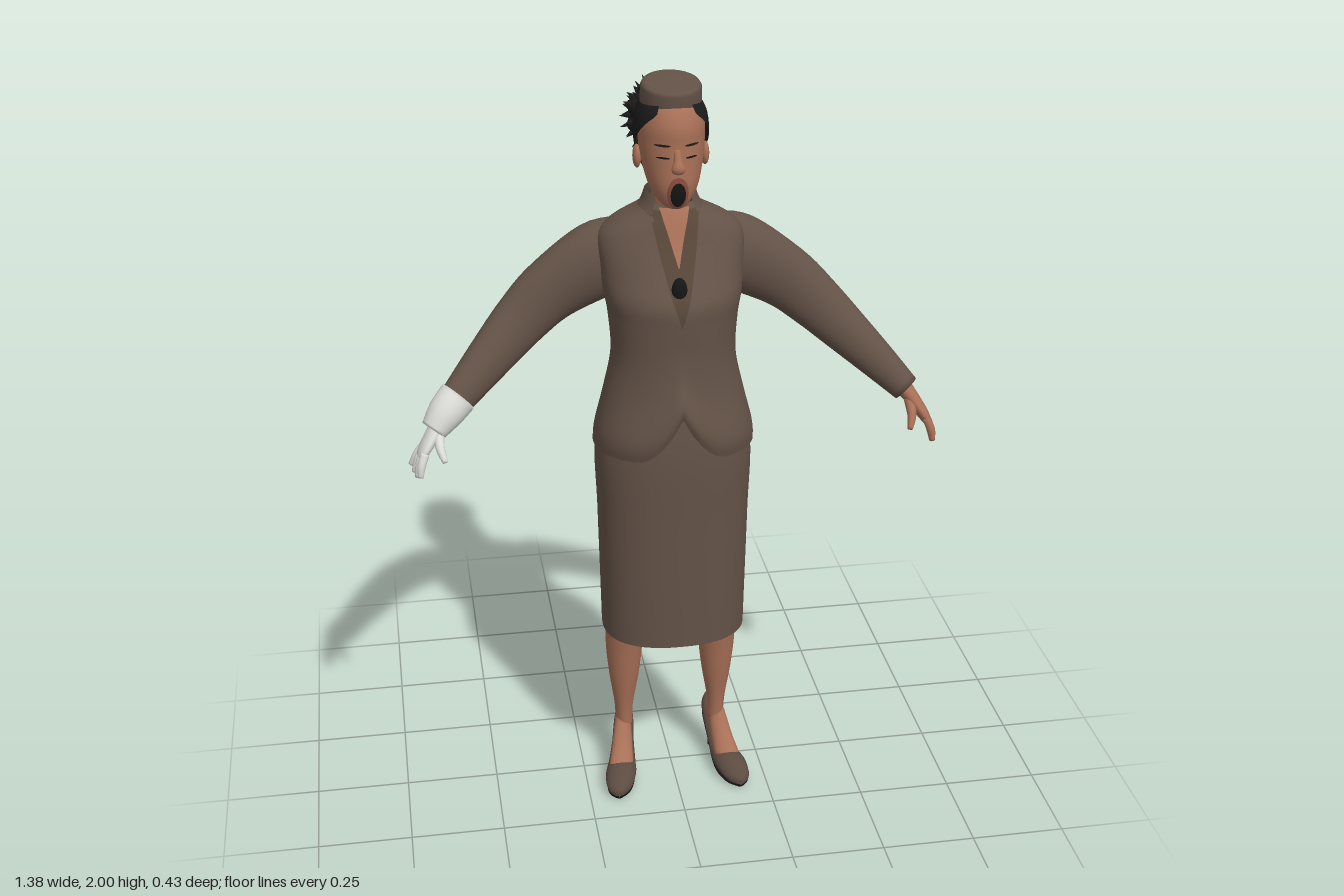
import * as THREE from 'three';

const material = (name, color) => {
  const m = new THREE.MeshStandardMaterial({ color, side: THREE.DoubleSide });
  m.name = name;
  return m;
};

// Smooth interpolation through rows of numbers
function spline(rows, s) {
  const i = Math.min(Math.floor(s), rows.length - 2), f = s - i;
  const at = (j) => rows[Math.max(0, Math.min(rows.length - 1, j))];
  return rows[0].map((_, k) => {
    const [a, b, c, d] = [at(i - 1)[k], at(i)[k], at(i + 1)[k], at(i + 2)[k]];
    return b + 0.5 * f * (c - a + f * (2 * a - 5 * b + 4 * c - d + f * (3 * (b - c) + d - a)));
  });
}

// Surface through rings of points
function skin(rings, closed) {
  const n = rings[0].length, index = [];
  for (let i = 0; i < rings.length - 1; i++) {
    for (let j = 0; j < (closed ? n : n - 1); j++) {
      const a = i * n + j, b = i * n + (j + 1) % n;
      index.push(a, b, a + n, b, b + n, a + n);
    }
  }
  const g = new THREE.BufferGeometry().setFromPoints(rings.flat());
  g.setIndex(index);
  g.computeVertexNormals();
  return g;
}

const pow = (v, p) => Math.sign(v) * Math.abs(v) ** p;

// Upright loft; rows are [y, half width, front z, back z, centre x]
function loft(rows, { n = 40, p = 1, start = null, warp = null, steps = 5 } = {}) {
  const rings = [];
  for (let k = 0; k <= (rows.length - 1) * steps; k++) {
    const [y, rx, zf, zb, cx = 0] = spline(rows, k / steps), ring = [];
    const a0 = start ? start(y) : 0;
    for (let j = 0; j < (start ? n + 1 : n); j++) {
      const t = a0 + (2 * Math.PI - 2 * a0) * j / n;
      const v = new THREE.Vector3(cx + rx * pow(Math.sin(t), p), y, (zf + zb) / 2 + (zf - zb) / 2 * pow(Math.cos(t), p));
      if (warp) warp(v);
      ring.push(v);
    }
    rings.push(ring);
  }
  return skin(rings, !start);
}

// Limb with closed ends; rows are [x, y, z, radius along z, other radius]
function limb(rows, n = 20, steps = 5) {
  const rings = [], last = (rows.length - 1) * steps;
  const centre = (s) => new THREE.Vector3(...spline(rows, s).slice(0, 3));
  for (let k = 0; k <= last; k++) {
    const s = k / steps, c = centre(s), [, , , ra, rb] = spline(rows, s);
    const T = centre(Math.min(s + 0.05, rows.length - 1)).sub(centre(Math.max(s - 0.05, 0))).normalize();
    const U = new THREE.Vector3(0, 0, 1).addScaledVector(T, -T.z).normalize();
    const V = new THREE.Vector3().crossVectors(T, U);
    const ring = (m) => Array.from({ length: n }, (_, j) => {
      const a = 2 * Math.PI * j / n;
      return c.clone().addScaledVector(U, m * ra * Math.cos(a)).addScaledVector(V, m * rb * Math.sin(a));
    });
    if (k === 0) rings.push(ring(0));
    rings.push(ring(1));
    if (k === last) rings.push(ring(0));
  }
  return skin(rings, true);
}

// Thin panel lying on the front of a loft; shape rows are [y, x from, x to]
function panel(base, shape, off, p = 1) {
  const rings = [], n = 8, steps = 5;
  for (let k = 0; k <= (shape.length - 1) * steps; k++) {
    const i = Math.min(Math.floor(k / steps), shape.length - 2), f = k / steps - i;
    const [y, xa, xb] = shape[i].map((v, c) => v + (shape[i + 1][c] - v) * f);
    let lo = 0, hi = base.length - 1;
    for (let q = 0; q < 24; q++) {
      const mid = (lo + hi) / 2;
      if (spline(base, mid)[0] < y) lo = mid; else hi = mid;
    }
    const [, rx, zf, zb] = spline(base, lo);
    rings.push(Array.from({ length: n + 1 }, (_, j) => {
      const x = xa + (xb - xa) * j / n, u = Math.min(1, Math.abs(x) / rx);
      return new THREE.Vector3(x, y, (zf + zb) / 2 + (zf - zb) / 2 * (1 - u ** (2 / p)) ** (p / 2) + off);
    }));
  }
  return skin(rings, false);
}

const oval = (x, y, rx, ry) => Array.from({ length: 9 }, (_, i) => {
  const a = -Math.PI / 2 + Math.PI * i / 8, w = rx * Math.cos(a);
  return [y + ry * Math.sin(a), x - w, x + w];
});

export function createModel() {
  const cloth = material('brown cloth', 0x635247), blouse = material('dark brown cloth', 0x574639);
  const flesh = material('skin', 0xa87057), lip = material('lip', 0x8a4f40);
  const black = material('black', 0x161616), hairMat = material('hair', 0x1b1b1b);
  const white = material('white glove', 0xdcdcd8), gold = material('gold', 0xc8942a);
  const shoeMat = material('shoe leather', 0x5b4b41);

  const model = new THREE.Group();
  const add = (name, geometry, mat, parent = model) => {
    const m = new THREE.Mesh(geometry, mat);
    m.name = name;
    parent.add(m);
    return m;
  };

  // Jacket with rounded front hem
  const torso = [[1.05, 0.21, 0.205, -0.13], [1.1, 0.205, 0.212, -0.123], [1.2, 0.18, 0.187, -0.102], [1.3, 0.16, 0.178, -0.095],
    [1.4, 0.165, 0.18, -0.108], [1.46, 0.175, 0.178, -0.116], [1.52, 0.182, 0.145, -0.12], [1.6, 0.185, 0.1, -0.11],
    [1.64, 0.15, 0.082, -0.098], [1.67, 0.09, 0.068, -0.085], [1.69, 0.06, 0.055, -0.07]];
  const P = 0.9;
  add('jacket', loft(torso, { n: 64, p: P, warp: (v) => {
    if (v.z < 0.05 || v.y > 1.4) return;
    const lift = 0.12 * Math.max(0, 1 - Math.abs(v.x) / 0.12) ** 2;
    v.y += lift * (1.4 - v.y) / 0.35;
  } }), cloth);
  add('collar', loft([[1.64, 0.115, 0.09, -0.104], [1.68, 0.078, 0.075, -0.088], [1.715, 0.064, 0.06, -0.076]], { start: () => 0.75 }), cloth);
  add('blouse', panel(torso, [[1.41, -0.001, 0.001], [1.53, -0.038, 0.038], [1.67, -0.062, 0.062]], 0.003, P), blouse);
  add('neckline', panel(torso, [[1.55, -0.001, 0.001], [1.63, -0.022, 0.022], [1.685, -0.038, 0.038]], 0.006, P), flesh);
  for (const s of [1, -1]) {
    const side = (rows) => rows.map(([y, a, b]) => [y, a * s, b * s]);
    add('lapel', panel(torso, side([[1.41, 0, 0.002], [1.49, 0.025, 0.085], [1.57, 0.043, 0.13], [1.59, 0.047, 0.1], [1.6, 0.049, 0.115], [1.66, 0.06, 0.085]]), 0.009, P), cloth);
    add('blouseCollar', panel(torso, side([[1.55, 0.03, 0.034], [1.59, 0.014, 0.046], [1.68, 0.036, 0.056]]), 0.011, P), blouse);
  }
  const scarf = add('scarfKnot', new THREE.SphereGeometry(1, 16, 12), black);
  scarf.scale.set(0.02, 0.036, 0.014);
  scarf.position.set(-0.003, 1.5, 0.157);

  // Skirt and its lining
  const skirt = [[0.49, 0.193, 0.187, -0.122], [0.65, 0.196, 0.188, -0.121], [0.85, 0.2, 0.188, -0.12], [1.05, 0.203, 0.187, -0.118], [1.2, 0.165, 0.168, -0.09]];
  add('skirt', loft(skirt, { n: 56, p: 0.85 }), cloth);
  add('skirtLining', loft(skirt.map(([y, r, f, b]) => [y, r - 0.006, f - 0.006, b + 0.006]), { n: 56, p: 0.85 }), black);

  for (const s of [1, -1]) {
    const mx = (rows) => rows.map(([x, ...r]) => [x * s, ...r]);
    const name = s > 0 ? 'left' : 'right';

    // Sleeve
    add(name + 'Sleeve', limb(mx([[0.11, 1.545, -0.04, 0.06, 0.09], [0.18, 1.522, -0.042, 0.073, 0.1], [0.3, 1.453, -0.032, 0.06, 0.084],
      [0.38, 1.385, -0.014, 0.054, 0.073], [0.455, 1.315, 0.022, 0.049, 0.062], [0.53, 1.245, 0.066, 0.042, 0.05], [0.605, 1.172, 0.106, 0.036, 0.037]]), 28), cloth);

    // Hand: bare on the left, gloved on the right
    const handMat = s > 0 ? flesh : white;
    const hand = new THREE.Group();
    hand.name = s > 0 ? 'leftHand' : 'rightGlove';
    model.add(hand);
    add('palm', limb(mx([[0.59, 1.187, 0.1, 0.026, 0.024], [0.615, 1.155, 0.113, 0.03, 0.02], [0.645, 1.112, 0.129, 0.036, 0.016], [0.658, 1.09, 0.133, 0.033, 0.012]])), handMat, hand);
    for (let i = 0; i < 4; i++) {
      const z = 0.104 + 0.02 * i, tip = 1.052 - [0, 0.009, 0.012, 0.002][i];
      add('finger', limb(mx([[0.648, 1.108, z, 0.011, 0.011], [0.668 - 0.003 * i, 1.08, z + 0.003 * i, 0.011, 0.011],
        [0.684 - 0.007 * i, tip, z - 0.004 + 0.006 * i, 0.007, 0.007]]), 10, 4), handMat, hand);
    }
    add('thumb', limb(mx([[0.61, 1.15, 0.125, 0.014, 0.014], [0.61, 1.12, 0.158, 0.012, 0.012], [0.6, 1.09, 0.183, 0.007, 0.007]]), 10, 4), handMat, hand);
    if (s < 0) add('gloveCuff', limb(mx([[0.555, 1.222, 0.079, 0.046, 0.05], [0.59, 1.188, 0.099, 0.044, 0.046], [0.622, 1.15, 0.115, 0.036, 0.034]])), white, hand);

    // Leg and foot
    add(name + 'Leg', limb(mx([[0.118, 0.75, 0.015, 0.08, 0.07], [0.128, 0.5, 0.005, 0.062, 0.053], [0.13, 0.4, -0.003, 0.055, 0.051],
      [0.131, 0.3, -0.006, 0.043, 0.041], [0.132, 0.2, -0.01, 0.03, 0.026], [0.131, 0.13, -0.018, 0.032, 0.024]])), flesh);
    const along = (rows) => loft(rows.map(([z, w, bottom, top]) => [z, w, -bottom, -top, s * (0.137 + 0.2 * z)]), { n: 24 }).rotateX(Math.PI / 2);
    add(name + 'Foot', along([[-0.055, 0.016, 0.12, 0.16], [-0.03, 0.023, 0.1, 0.18], [0, 0.025, 0.07, 0.165], [0.04, 0.03, 0.035, 0.112], [0.08, 0.034, 0.015, 0.073], [0.12, 0.028, 0.01, 0.045]]), flesh);

    // Court shoe
    const shoe = [[-0.075, 0.003, 0.12, 0.16], [-0.066, 0.021, 0.1, 0.172], [-0.04, 0.028, 0.085, 0.145], [0, 0.031, 0.048, 0.1], [0.05, 0.038, 0.013, 0.068],
      [0.1, 0.043, 0.004, 0.063], [0.15, 0.034, 0.004, 0.045], [0.172, 0.014, 0.006, 0.032], [0.177, 0.002, 0.01, 0.022]];
    add(name + 'Shoe', along(shoe), shoeMat);
    add(name + 'Sole', along(shoe.map(([z, w, b]) => [z, w * 0.9, b - 0.004, b + 0.012])), black);
    add(name + 'Heel', limb([[s * 0.126, 0.115, -0.05, 0.02, 0.02], [s * 0.126, 0.07, -0.052, 0.011, 0.01], [s * 0.126, 0, -0.05, 0.008, 0.008]], 12), black);
  }

  // Neck and head
  add('neck', limb([[0, 1.62, -0.015, 0.055, 0.055], [0, 1.7, 0, 0.052, 0.048], [0, 1.78, 0.012, 0.06, 0.05]]), flesh);
  const head = [[1.688, 0.002, 0.08, 0.06], [1.694, 0.027, 0.098, 0.03], [1.715, 0.046, 0.109, 0.005], [1.75, 0.064, 0.116, -0.04],
    [1.8, 0.076, 0.114, -0.07], [1.85, 0.082, 0.111, -0.085], [1.9, 0.08, 0.109, -0.088], [1.95, 0.06, 0.08, -0.065], [1.98, 0.002, 0.01, 0]];
  add('head', loft(head), flesh);
  add('nose', limb([[0, 1.845, 0.107, 0.006, 0.008], [0, 1.82, 0.115, 0.01, 0.011], [0, 1.8, 0.121, 0.012, 0.017], [0, 1.79, 0.115, 0.006, 0.012]], 14), flesh);
  add('lips', panel(head, oval(0, 1.738, 0.027, 0.042), 0.006), lip);
  add('mouth', panel(head, oval(0, 1.735, 0.019, 0.032), 0.009), black);
  for (const s of [1, -1]) {
    add('closedEye', panel(head, oval(s * 0.035, 1.826, 0.016, 0.0025), 0.003), black);
    add('eyebrow', panel(head, oval(s * 0.036, 1.856, 0.019, 0.003), 0.003), hairMat);
    const ear = add('ear', new THREE.SphereGeometry(1, 14, 10), flesh);
    ear.scale.set(0.011, 0.03, 0.018);
    ear.position.set(s * 0.085, 1.805, 0.008);
  }

  // Hair swept back from the face
  const hairline = (y) => 0.6 + 1.55 * THREE.MathUtils.clamp((1.925 - y) / 0.18, 0, 1) ** 0.75;
  add('hair', loft([[1.715, 0.05, 0.06, -0.066], [1.76, 0.07, 0.1, -0.085], [1.82, 0.088, 0.116, -0.1], [1.88, 0.093, 0.118, -0.106],
    [1.93, 0.082, 0.108, -0.098], [1.965, 0.05, 0.06, -0.06], [1.975, 0.002, 0.01, 0]], { start: hairline }), hairMat);

  // Spiky bun and gold tie
  const bun = new THREE.Group();
  bun.name = 'bun';
  bun.position.set(-0.005, 1.862, -0.15);
  model.add(bun);
  const ball = new THREE.SphereGeometry(1, 48, 24).rotateX(Math.PI / 2), pos = ball.attributes.position;
  for (let i = 0; i < pos.count; i++) {
    const r = 1 + 0.07 * Math.cos(9 * Math.atan2(pos.getY(i), pos.getX(i))) * Math.hypot(pos.getX(i), pos.getY(i));
    pos.setXYZ(i, pos.getX(i) * r * 0.08, pos.getY(i) * r * 0.085, pos.getZ(i) * 0.053);
  }
  ball.computeVertexNormals();
  add('bunBall', ball, hairMat, bun);
  const up = new THREE.Vector3(0, 1, 0);
  for (let i = 0; i < 64; i++) {
    const z = 0.45 - 1.4 * (i + 0.5) / 64, a = i * 2.39996, w = Math.sqrt(1 - z * z);
    const d = new THREE.Vector3(w * Math.cos(a), w * Math.sin(a), z);
    const spike = add('hairSpike', new THREE.ConeGeometry(0.011, 0.034 + 0.014 * Math.sin(i * 7.3), 5), hairMat, bun);
    spike.position.set(d.x * 0.085, d.y * 0.088, d.z * 0.052);
    spike.quaternion.setFromUnitVectors(up, d);
  }
  add('hairTie', new THREE.TubeGeometry(new THREE.CatmullRomCurve3([[-0.042, 1.925, -0.1], [-0.02, 1.948, -0.101], [0.02, 1.948, -0.101], [0.035, 1.928, -0.1]]
    .map((v) => new THREE.Vector3(...v))), 16, 0.009, 8), gold);

  // Pillbox hat, tipped forward
  const hat = add('hat', new THREE.LatheGeometry([[0.06, -0.034], [0.074, -0.034], [0.076, -0.028], [0.075, 0.02], [0.07, 0.028], [0.06, 0.031], [0, 0.032]]
    .map(([x, y]) => new THREE.Vector2(x, y)), 40), cloth);
  hat.scale.z = 1.08;
  hat.position.set(0, 1.959, 0.008);
  hat.rotation.x = 0.14;
  return model;
}
